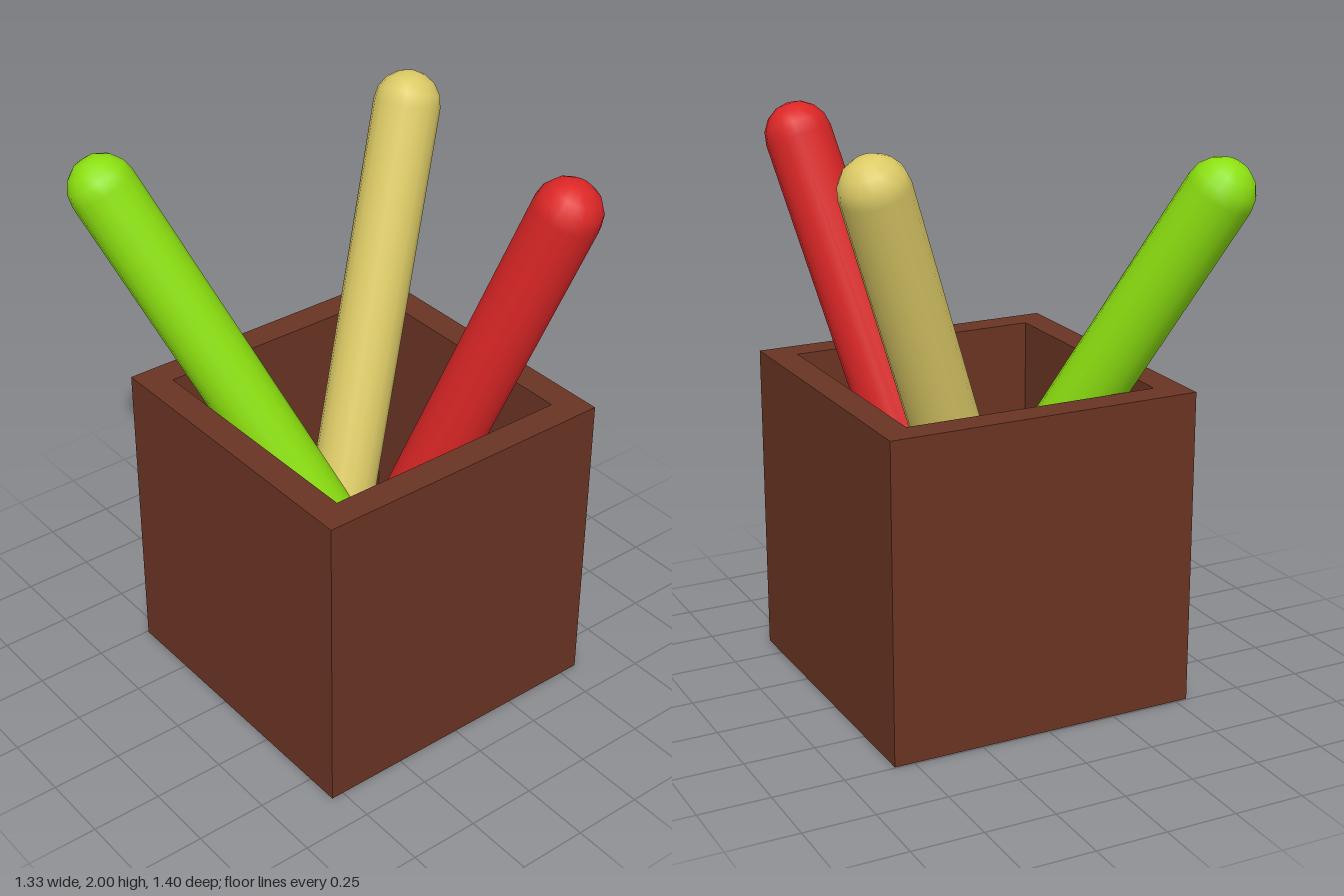
import * as THREE from 'three';

const material = (name, color) => {
  const m = new THREE.MeshStandardMaterial({ color });
  m.name = name;
  return m;
};

// Square outline around the origin
function square(half, Type) {
  return new Type([[-1, -1], [1, -1], [1, 1], [-1, 1]].map(([x, y]) => new THREE.Vector2(x * half, y * half)));
}

export function createModel() {
  const model = new THREE.Group();
  const wood = material('brown wood', 0x6a3423);

  // Open square holder: four walls with a floor inside
  const outer = 0.5575, inner = 0.455, height = 1.12, floorThickness = 0.1;
  const holder = new THREE.Group();
  holder.name = 'holder';
  holder.position.set(0.0125, 0, 0.0625);

  const outline = square(outer, THREE.Shape);
  outline.holes.push(square(inner, THREE.Path));
  const wallGeometry = new THREE.ExtrudeGeometry(outline, { depth: height, bevelEnabled: false });
  wallGeometry.rotateX(-Math.PI / 2);
  const walls = new THREE.Mesh(wallGeometry, wood);
  walls.name = 'walls';

  const floor = new THREE.Mesh(new THREE.BoxGeometry(inner * 2, floorThickness, inner * 2), wood);
  floor.name = 'floor';
  floor.position.y = floorThickness / 2;
  holder.add(walls, floor);
  model.add(holder);

  // Round-ended sticks leaning out, given by the centres of their end caps
  const radius = 0.117;
  const sticks = [
    ['redStick', material('red', 0xdc2626), [0.04, 0.12, 0.0], [0.415, 1.884, 0.582]],
    ['yellowStick', material('straw yellow', 0xdcca66), [-0.1, 0.12, -0.025], [0.548, 1.876, -0.36]],
    ['greenStick', material('lime green', 0x8ce010), [0.072, 0.18, 0.187], [-0.553, 1.808, -0.58]],
  ];
  for (const [name, mat, from, to] of sticks) {
    const a = new THREE.Vector3(...from), b = new THREE.Vector3(...to);
    const axis = b.clone().sub(a);
    const stick = new THREE.Mesh(new THREE.CapsuleGeometry(radius, axis.length(), 4, 16), mat);
    stick.name = name;
    stick.position.copy(a).add(b).multiplyScalar(0.5);
    stick.quaternion.setFromUnitVectors(new THREE.Vector3(0, 1, 0), axis.normalize());
    model.add(stick);
  }
  return model;
}
